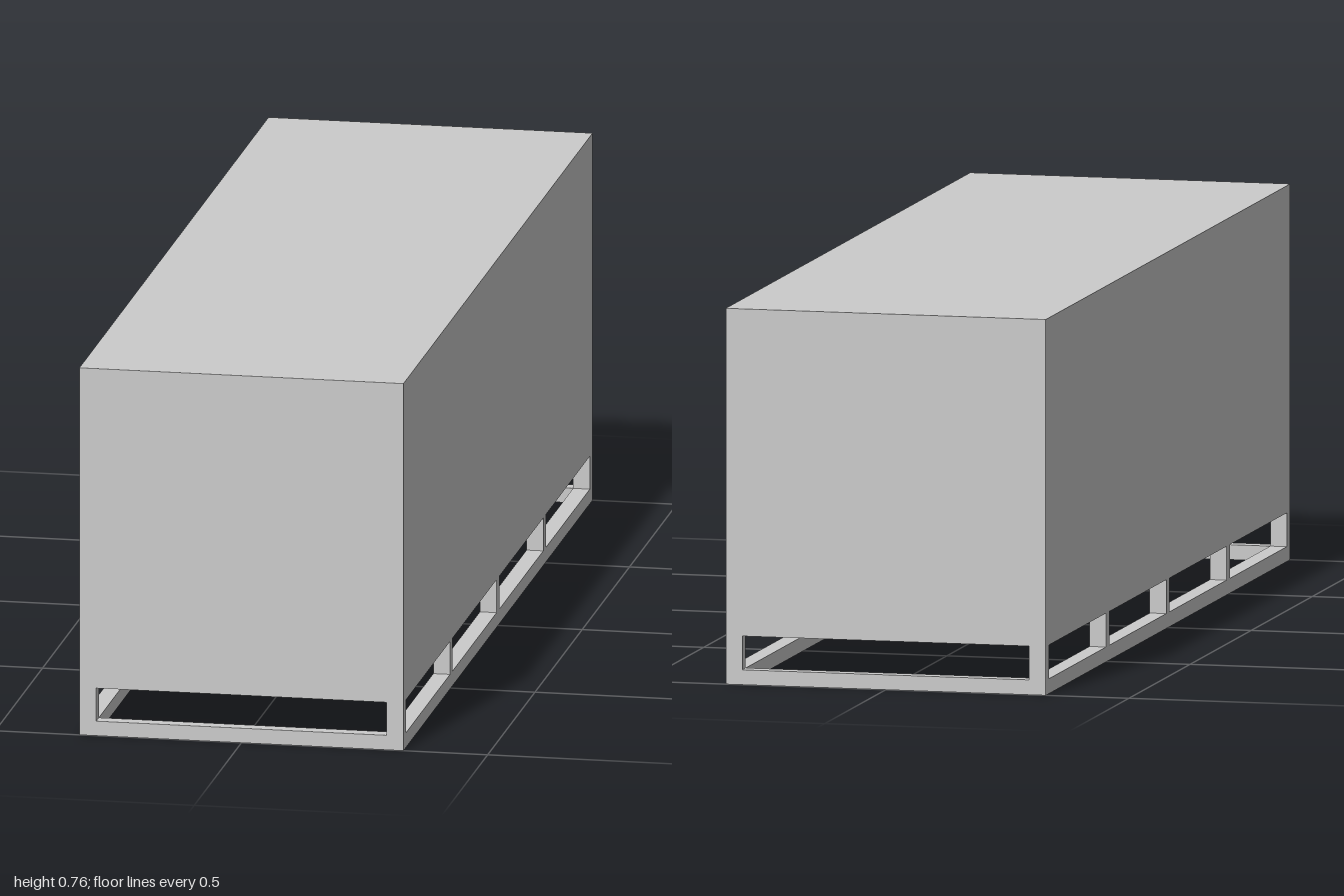
import * as THREE from 'three';

const W = 0.658, H = 0.757, L = 2;   // overall size
const RAIL_H = 0.03, BODY_Y = 0.098; // base rail height, underside of body
const TX = 0.034, TZ = 0.028;        // bar thickness across and along

export function createModel() {
  const model = new THREE.Group();
  const material = new THREE.MeshStandardMaterial({ color: 0xcccccc, flatShading: true });

  // Box placed by its centre in x and z and by its underside in y
  function box(name, w, h, d, x, y, z) {
    const mesh = new THREE.Mesh(new THREE.BoxGeometry(w, h, d), material);
    mesh.name = name;
    mesh.position.set(x, y + h / 2, z);
    model.add(mesh);
  }

  // Closed cabinet body
  box('body', W, H - BODY_Y, L, 0, BODY_Y, 0);

  for (const s of [-1, 1]) {
    const x = s * (W - TX) / 2;
    const side = s > 0 ? 'left' : 'right';
    // Long base rail with five posts carrying the body
    box(side + 'Rail', TX, RAIL_H, L, x, 0, 0);
    for (let i = -2; i <= 2; i++) {
      box(side + 'Post', TX, BODY_Y - RAIL_H, TZ, x, RAIL_H, i * (L - TZ) / 4);
    }
    // Short base rail between the long ones
    box(s > 0 ? 'frontRail' : 'backRail', W - 2 * TX, RAIL_H, TZ, 0, 0, s * (L - TZ) / 2);
  }
  return model;
}
